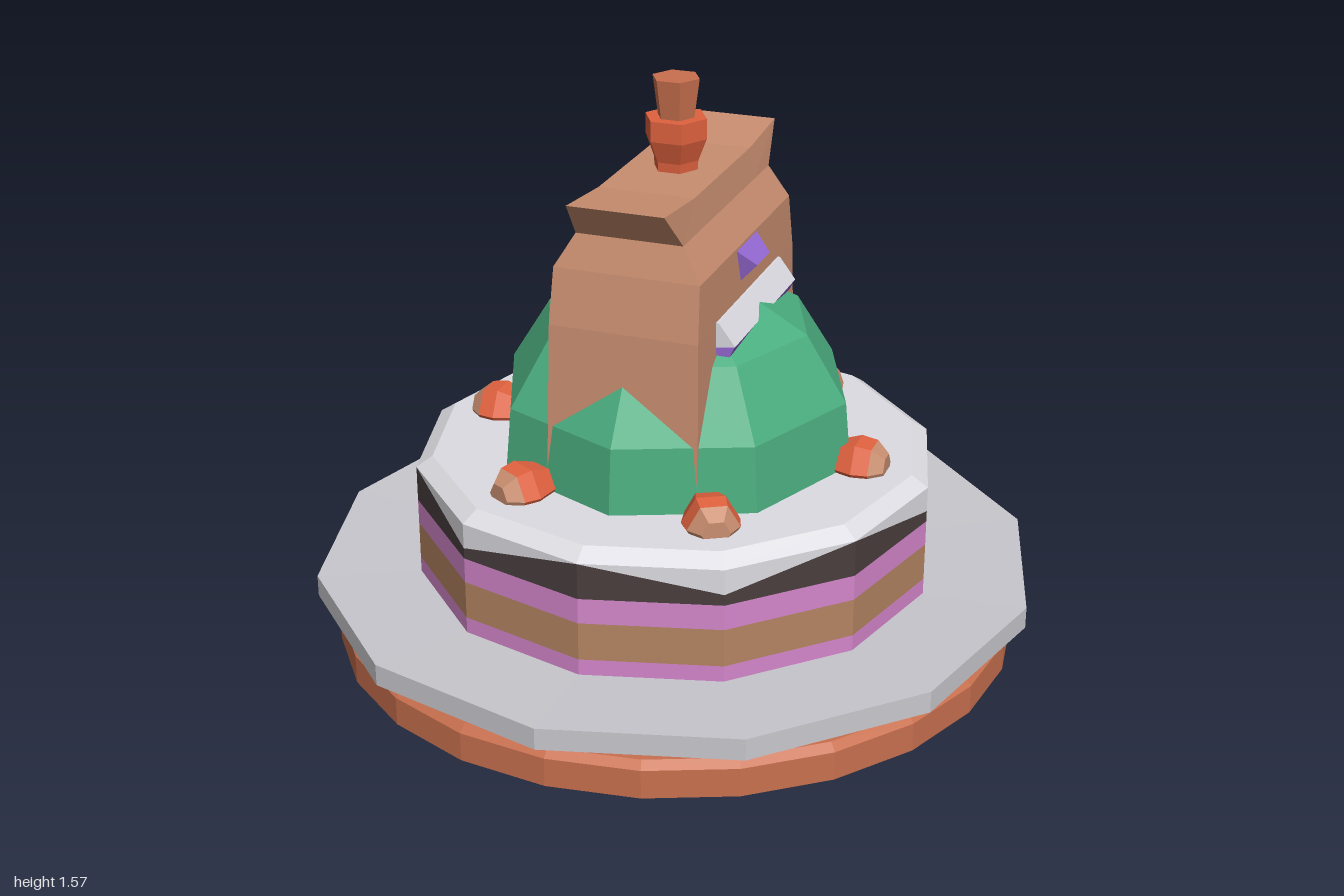
import * as THREE from 'three';
import { ConvexGeometry } from 'three/addons/geometries/ConvexGeometry.js';

const mat = (name, color) => {
  const m = new THREE.MeshStandardMaterial({ color });
  m.name = name;
  return m;
};

// Faceted normals for the low-poly look
const facet = (g) => {
  const f = g.index ? g.toNonIndexed() : g;
  f.computeVertexNormals();
  return f;
};

// Profile of [radius, y] pairs, bottom to top, turned around the y axis
const turned = (profile, sides) =>
  facet(new THREE.LatheGeometry(profile.map(([r, y]) => new THREE.Vector2(r, y)), sides));

// Skin between matching closed rings of [x, y, z], listed bottom to top
const loft = (rings) => {
  const pos = [];
  for (let i = 0; i < rings.length - 1; i++) {
    const lo = rings[i], hi = rings[i + 1], n = lo.length;
    for (let k = 0; k < n; k++) {
      const j = (k + 1) % n;
      pos.push(...lo[k], ...lo[j], ...hi[j], ...lo[k], ...hi[j], ...hi[k]);
    }
  }
  const g = new THREE.BufferGeometry();
  g.setAttribute('position', new THREE.Float32BufferAttribute(pos, 3));
  return facet(g);
};

const hull = (pts) => facet(new ConvexGeometry(pts.map((p) => new THREE.Vector3(...p))));

export function createModel() {
  const model = new THREE.Group();
  model.name = 'decoratedCake';
  const cream = mat('cream', 0xdddce2);
  const silver = mat('silver', 0xc8c7cd);
  const terracotta = mat('terracotta', 0xc8704e);
  const pink = mat('pink', 0xd486ca);
  const sponge = mat('sponge', 0xb58462);
  const chocolate = mat('chocolate', 0x4a3e3e);
  const green = mat('green', 0x4bae80);
  const paper = mat('paper', 0xc98e70);
  const red = mat('red', 0xe0623f);
  const purple = mat('purple', 0x9468d2);

  const add = (name, geometry, material, parent = model) => {
    const mesh = new THREE.Mesh(geometry, material);
    mesh.name = name;
    parent.add(mesh);
    return mesh;
  };

  // Stand and plate
  add('stand', turned([[0, 0], [0.945, 0], [0.945, 0.08], [0.925, 0.1], [0, 0.1]], 24), terracotta);
  add('plate', turned([[0, 0.101], [0.93, 0.101], [1, 0.14], [1, 0.2], [0.7, 0.19], [0, 0.19]], 12), silver);

  // Cake layers
  const R = 0.715;
  const layer = (name, y0, y1, m) => add(name, turned([[R, y0], [R, y1]], 12), m);
  layer('lowerFilling', 0.185, 0.235, pink);
  layer('spongeLayer', 0.235, 0.34, sponge);
  layer('upperFilling', 0.34, 0.41, pink);

  // Icing dripping in a zigzag over the chocolate layer
  const ring = (r, yAt) => Array.from({ length: 12 }, (_, k) => {
    const a = (k * Math.PI) / 6;
    return [r * Math.sin(a), yAt(k), r * Math.cos(a)];
  });
  const zigzag = ring(R, (k) => (k % 2 ? 0.44 : 0.509));
  add('chocolateLayer', loft([ring(R, () => 0.41), zigzag]), chocolate);
  add('icing', loft([zigzag, ring(R, () => 0.51), ring(0.67, () => 0.54), ring(0, () => 0.54)]), cream);

  // Green dome around the bag
  add('dome', turned([[0.5, 0.53], [0.482, 0.72], [0.37, 0.9], [0.22, 0.985], [0, 1.04]], 8), green);

  // Paper bag with a pinched neck and flared ends
  const bagRing = (w, y, d, yMid = y, m = 0.22) => [
    [-w, y, d], [w, y, d], [w, yMid, m], [w, yMid, -m],
    [w, y, -d], [-w, y, -d], [-w, yMid, -m], [-w, yMid, m],
  ];
  add('bag', loft([
    bagRing(0.21, 0.53, 0.41), bagRing(0.203, 1.0, 0.39), bagRing(0.198, 1.15, 0.365),
    bagRing(0.145, 1.24, 0.34), bagRing(0.13, 1.345, 0.435, 1.325), bagRing(0, 1.345, 0.435, 1.325),
  ]), paper);

  // Tag on the back of the bag
  const tag = [];
  for (const s of [-1, 1]) {
    tag.push([s * 0.03, 1.08, -0.375], [s * 0.03, 0.91, -0.47], [s * 0.025, 0.83, -0.42], [s * 0.025, 0.83, -0.37]);
  }
  add('backTag', hull(tag), paper);

  // Sloping label with a purple lower edge on each side
  for (const s of [-1, 1]) {
    const strip = (pts) => hull([-0.255, 0.255].flatMap((z) => pts.map(([x, y]) => [s * x, y, z])));
    const side = s > 0 ? 'left' : 'right';
    add(side + 'Label', strip([[0.195, 1.01], [0.21, 1.01], [0.255, 0.95], [0.195, 0.94]]), cream);
    add(side + 'LabelEdge', strip([[0.195, 0.94], [0.253, 0.948], [0.24, 0.92], [0.195, 0.92]]), purple);
  }

  // Purple seal: raised on the left, flat on the right
  const seal = [];
  for (const s of [-1, 1]) seal.push([0.185, 1.155, s * 0.09], [0.245, 1.1, s * 0.052], [0.195, 1.045, s * 0.055]);
  add('leftSeal', hull(seal), purple);
  const flat = [];
  for (const s of [-1, 1]) {
    for (const x of [-0.195, -0.204]) flat.push([x, 1.15, s * 0.09], [x, 1.045, s * 0.055]);
  }
  add('rightSeal', hull(flat), purple);

  // Topper
  const hex = (profile) => turned(profile, 6).rotateY(Math.PI / 2);
  add('topperCollar', hex([[0, 1.32], [0.06, 1.32], [0.062, 1.35], [0.085, 1.41], [0.085, 1.465], [0, 1.465]]), red);
  add('topperCup', hex([[0.05, 1.46], [0.065, 1.57], [0, 1.57]]), terracotta);

  // Ring of six berries, tips pointing outward
  const lying = (profile) => turned(profile, 6).rotateY(Math.PI / 6).rotateX(Math.PI / 2);
  const berryBody = lying([[0, -0.1], [0.05, -0.09], [0.077, -0.01], [0.07, 0.035]]);
  const berryTip = lying([[0.07, 0.035], [0.038, 0.07], [0, 0.07]]);
  for (let k = 0; k < 6; k++) {
    const a = Math.PI / 6 + (k * Math.PI) / 3;
    const berry = new THREE.Group();
    berry.name = 'berry';
    add('berryBody', berryBody, red, berry);
    add('berryTip', berryTip, paper, berry);
    berry.position.set(0.53 * Math.sin(a), 0.55, 0.53 * Math.cos(a));
    berry.rotation.y = a;
    model.add(berry);
  }
  return model;
}
